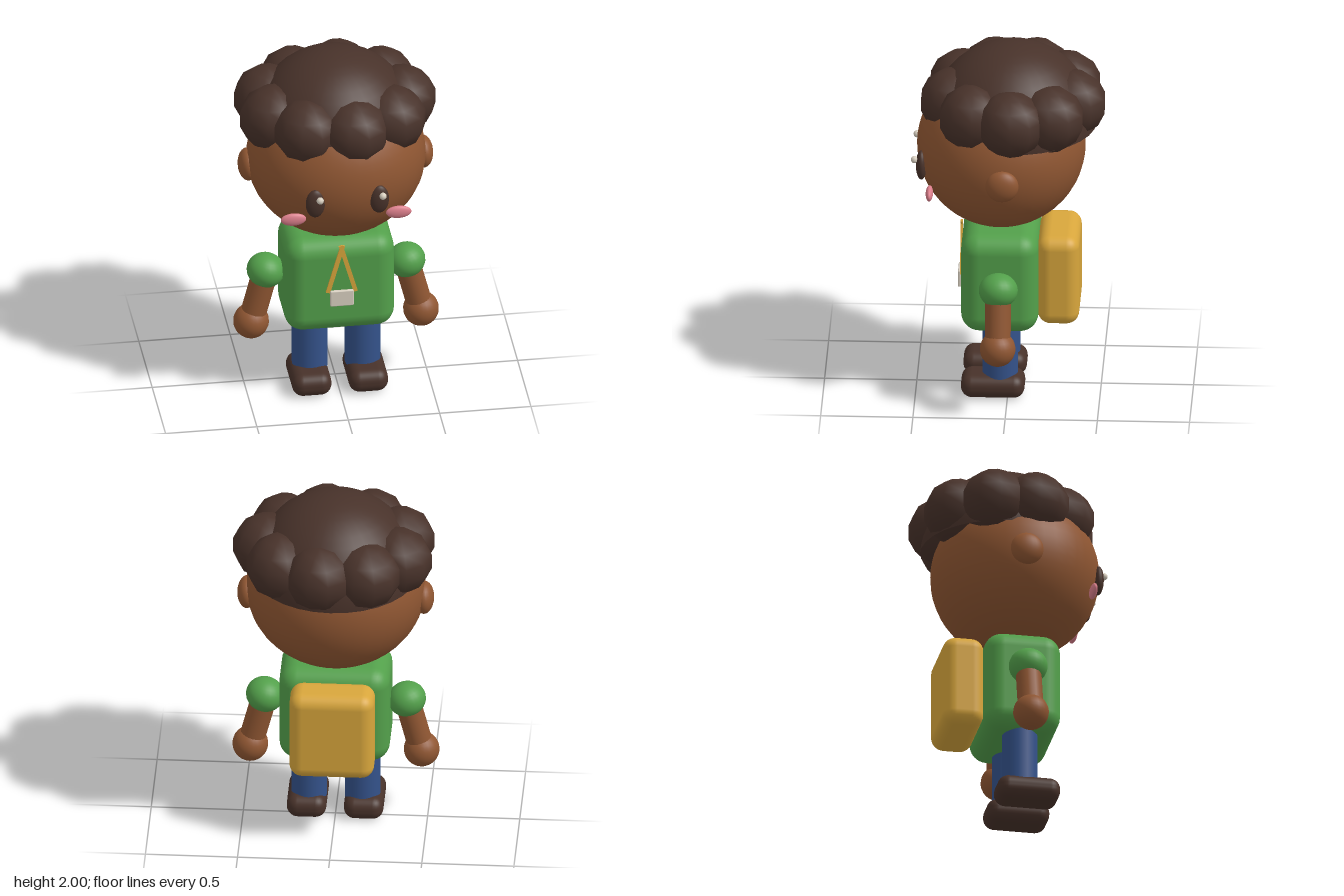
import * as THREE from 'three';
import { RoundedBoxGeometry } from 'three/addons/geometries/RoundedBoxGeometry.js';

const mat = (name, color) => {
  const m = new THREE.MeshStandardMaterial({ color });
  m.name = name;
  return m;
};

export function createModel() {
  const skin = mat('skin', 0x8f5632);
  const dark = mat('darkBrown', 0x48322a);
  const green = mat('shirtGreen', 0x53a04b);
  const blue = mat('trouserBlue', 0x34528a);
  const yellow = mat('bagYellow', 0xd8a63c);
  const pink = mat('cheekPink', 0xdc7f8c);
  const cream = mat('cream', 0xd8cfc0);

  const model = new THREE.Group();
  model.name = 'child';
  const Z = 0.042; // depth of the body's middle

  const add = (name, geometry, material, x, y, z) => {
    const mesh = new THREE.Mesh(geometry, material);
    mesh.name = name;
    mesh.position.set(x, y, z);
    model.add(mesh);
    return mesh;
  };
  const ball = (name, material, x, y, z, rx, ry = rx, rz = rx, seg = 24) => {
    const mesh = add(name, new THREE.SphereGeometry(1, seg, Math.ceil(seg * 0.7)), material, x, y, z);
    mesh.scale.set(rx, ry, rz);
    return mesh;
  };
  const box = (name, material, w, h, d, r, x, y, z) =>
    add(name, new RoundedBoxGeometry(w, h, d, 4, r), material, x, y, z);

  // Head
  ball('head', skin, 0, 1.415, Z, 0.487, 0.45, 0.457, 40);

  // Hair: a smooth crown with a ring of nine faceted curls
  add('hairCrown', new THREE.SphereGeometry(0.455, 32, 12, 0, Math.PI * 2, 0, Math.PI / 2),
    dark, 0, 1.545, -0.02);
  for (let i = 0; i < 9; i++) {
    const a = (i / 9) * Math.PI * 2;
    ball('hairCurl', dark, 0.37 * Math.cos(a), 1.69, -0.025 + 0.325 * Math.sin(a), 0.19, 0.183, 0.19, 10);
  }

  // Paired parts
  for (const s of [1, -1]) {
    const side = s > 0 ? 'left' : 'right';

    // Face
    ball(side + 'Ear', skin, s * 0.48, 1.37, 0.018, 0.054, 0.09, 0.09);
    ball(side + 'Eye', dark, s * 0.175, 1.355, 0.468, 0.053, 0.084, 0.03);
    ball(side + 'EyeGlint', cream, s * 0.172 + 0.018, 1.392, 0.505, 0.02, 0.02, 0.02, 12);
    ball(side + 'Cheek', pink, s * 0.288, 1.237, 0.42, 0.07, 0.037, 0.02);

    // Arm, tilted outward from the shoulder to the hand
    const shoulder = new THREE.Vector3(s * 0.385, 0.71, Z);
    const wrist = new THREE.Vector3(s * 0.465, 0.4, Z);
    const mid = shoulder.clone().add(wrist).multiplyScalar(0.5);
    const tilt = s * Math.atan2(0.08, 0.31);
    const arm = add(side + 'Arm', new THREE.CylinderGeometry(0.07, 0.07, shoulder.distanceTo(wrist), 20),
      skin, mid.x, mid.y, mid.z);
    arm.rotation.z = tilt;
    ball(side + 'Hand', skin, wrist.x, wrist.y, wrist.z, 0.097);
    const sleeve = ball(side + 'Sleeve', green, s * 0.385, 0.712, Z, 0.104, 0.094, 0.106);
    sleeve.rotation.z = tilt;

    // Leg and shoe
    add(side + 'Leg', new THREE.CylinderGeometry(0.097, 0.097, 0.35, 24), blue, s * 0.145, 0.275, Z);
    box(side + 'Shoe', dark, 0.215, 0.13, 0.345, 0.06, s * 0.155, 0.066, 0.08);

    // Lanyard strap, crossing its twin at the collar
    const strap = add(side + 'LanyardStrap', new THREE.BoxGeometry(0.024, 0.3, 0.01),
      yellow, s * 0.035, 0.81, 0.257 + s * 0.0005);
    strap.rotation.z = s * 0.275;
  }

  // Torso, badge and backpack
  box('torso', green, 0.6, 0.57, 0.42, 0.1, 0, 0.685, Z);
  box('badge', cream, 0.128, 0.095, 0.02, 0.006, 0, 0.632, 0.265);
  box('backpack', yellow, 0.46, 0.515, 0.225, 0.07, 0, 0.687, -0.275);

  return model;
}
